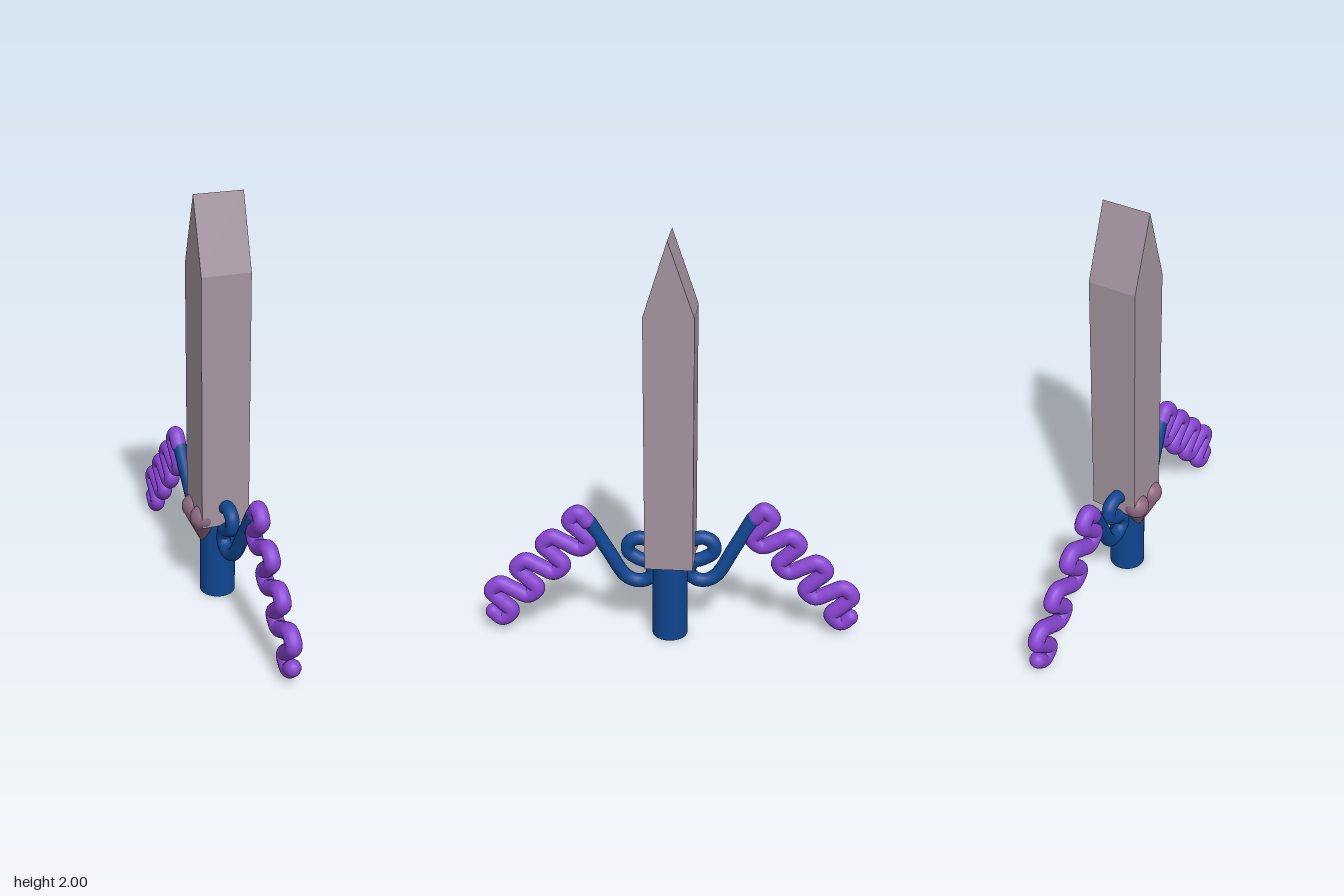
import * as THREE from 'three';

const material = (name, color) => {
  const m = new THREE.MeshStandardMaterial({ color });
  m.name = name;
  return m;
};

export function createModel() {
  const model = new THREE.Group();
  model.name = 'sword';
  const steel = material('mauve steel', 0xa494a0);
  const blue = material('deep blue', 0x0f4690);
  const purple = material('purple', 0x8644d0);
  const pink = material('dusty pink', 0x8c677f);

  const add = (parent, name, geometry, mat, x = 0, y = 0, z = 0) => {
    const mesh = new THREE.Mesh(geometry, mat);
    mesh.name = name;
    mesh.position.set(x, y, z);
    parent.add(mesh);
    return mesh;
  };
  const tube = (parent, name, points, radius, segments, mat) => {
    const curve = new THREE.CatmullRomCurve3(points);
    add(parent, name, new THREE.TubeGeometry(curve, segments, radius, 16), mat);
    for (const p of [points[0], points[points.length - 1]]) {
      add(parent, name + 'End', new THREE.SphereGeometry(radius, 16, 12), mat, p.x, p.y, p.z);
    }
  };

  // Blade: a pointed outline in the z-y plane, given thickness along x
  const outline = new THREE.Shape([
    [-0.115, 0.41], [0.115, 0.41], [0.115, 1.655], [-0.005, 2], [-0.115, 1.655],
  ].map(([x, y]) => new THREE.Vector2(x, y)));
  const blade = new THREE.ExtrudeGeometry(outline, { depth: 0.235, bevelEnabled: false });
  blade.rotateY(Math.PI / 2).translate(-0.1, 0, 0);
  add(model, 'blade', blade, steel);

  // Grip
  add(model, 'grip', new THREE.CylinderGeometry(0.086, 0.086, 0.42, 40), blue, 0.015, 0.21, 0.004);

  // Heart: two leaning teardrops that share a tip
  const profile = [[0, 0], [0.014, 0.012], [0.025, 0.05], [0.04, 0.1]];
  for (let i = 0; i <= 12; i++) {
    const a = -0.5 + (i / 12) * (Math.PI / 2 + 0.5);
    profile.push([Math.max(0, 0.061 * Math.cos(a)), 0.178 + 0.061 * Math.sin(a)]);
  }
  const drop = new THREE.LatheGeometry(profile.map(([r, y]) => new THREE.Vector2(r, y)), 28);
  const heart = new THREE.Group();
  heart.name = 'heart';
  heart.position.set(-0.055, 0.275, -0.002);
  heart.rotation.z = 0.15;
  for (const side of [-1, 1]) {
    add(heart, 'heartLobe', drop, pink).rotation.x = side * 0.35;
  }
  model.add(heart);

  // Guard arms: a curled blue arm ending in a winding purple tendril
  for (let side = 0; side < 2; side++) {
    const arm = new THREE.Group();
    arm.name = side ? 'backGuard' : 'frontGuard';
    arm.position.x = 0.0025;
    arm.rotation.y = side * Math.PI;

    const curl = [
      [0.015, 0.49, 0.08], [0.015, 0.514, 0.15], [0.015, 0.49, 0.2], [0.015, 0.44, 0.205],
      [0.015, 0.405, 0.16], [0.014, 0.38, 0.105], [0.014, 0.33, 0.085], [0.014, 0.292, 0.115],
      [0.016, 0.283, 0.165], [0.022, 0.31, 0.218], [0.036, 0.45, 0.3], [0.05, 0.605, 0.385],
    ].map(p => new THREE.Vector3(...p));
    tube(arm, 'guardArm', curl, 0.034, 120, blue);

    // Each bend repeats one step further out and down
    const bend = [[0.44, 0.653], [0.483, 0.61], [0.435, 0.557],
      [0.387, 0.504], [0.435, 0.462], [0.509, 0.493]];
    const path = [[0.398, 0.612]];
    for (let i = 0; i < 4; i++) {
      for (const [z, y] of bend) path.push([z + i * 0.1326, y - i * 0.1345]);
    }
    path[path.length - 1] = [0.877, 0.092];
    tube(arm, 'tendril', path.map(([z, y]) => new THREE.Vector3(0.053, y, z)), 0.039, 320, purple);
    model.add(arm);
  }
  return model;
}
